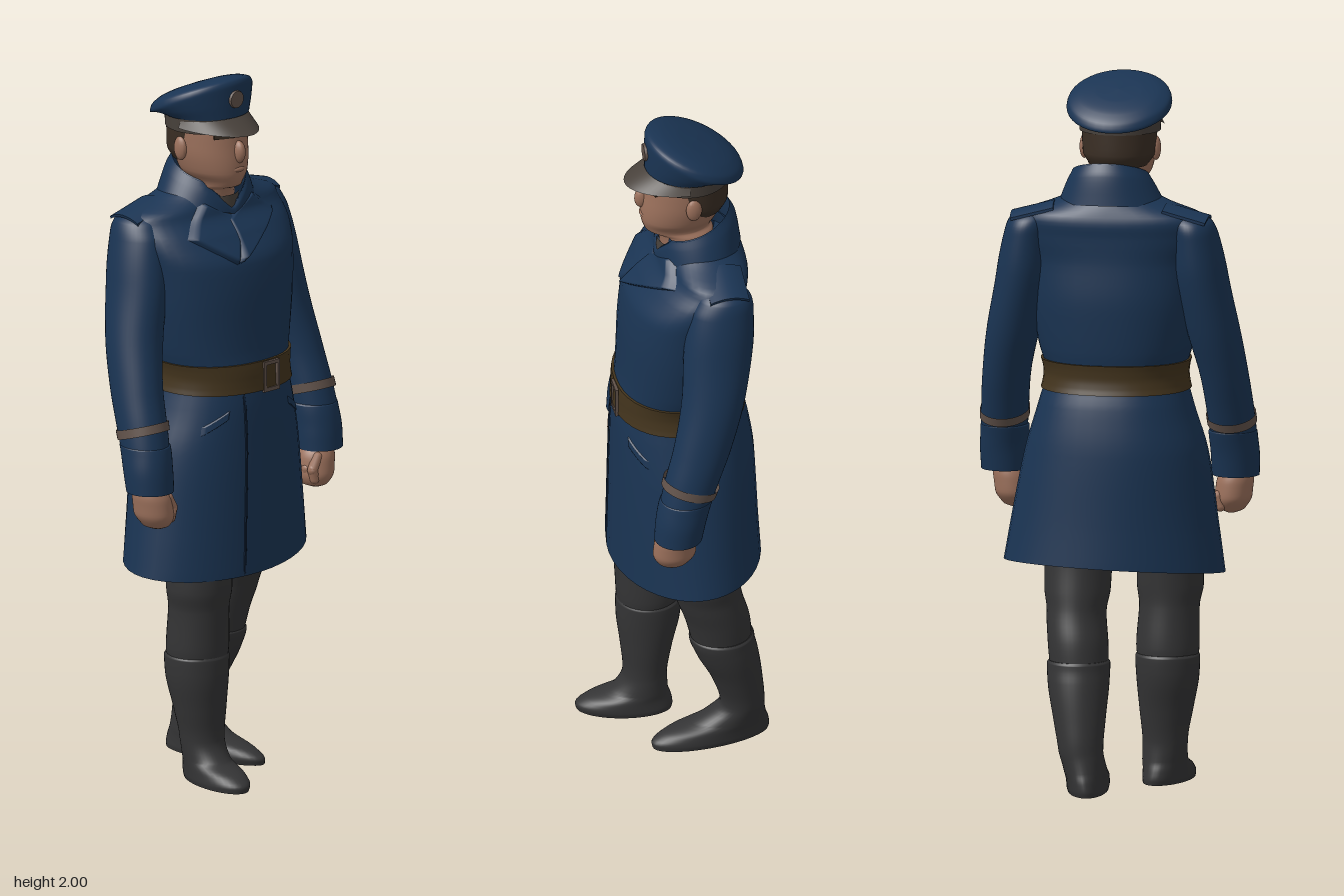
import * as THREE from 'three';

const mat = (name, color) => {
  const m = new THREE.MeshStandardMaterial({ color, side: THREE.DoubleSide });
  m.name = name;
  return m;
};

// Smooth value of cross-sections [y, cx, cz, rx, rz, power] at a height (sections run upward)
function at(secs, y) {
  let i = 0;
  while (i < secs.length - 2 && y > secs[i + 1][0]) i++;
  const h = secs[i + 1][0] - secs[i][0];
  const t = Math.min(1, Math.max(0, (y - secs[i][0]) / h));
  const val = (s, k) => s[k] ?? 2;
  const d = (j, k) => (val(secs[j + 1], k) - val(secs[j], k)) / (secs[j + 1][0] - secs[j][0]);
  const slope = (j, k) => {
    if (j === 0) return d(0, k);
    if (j === secs.length - 1) return d(j - 1, k);
    const a = d(j - 1, k), b = d(j, k);
    return a * b <= 0 ? 0 : (2 * a * b) / (a + b);
  };
  const out = [y];
  for (let k = 1; k < 6; k++) {
    const a = val(secs[i], k), b = val(secs[i + 1], k), t2 = t * t, t3 = t2 * t;
    out[k] = a * (2 * t3 - 3 * t2 + 1) + b * (3 * t2 - 2 * t3)
      + h * (slope(i, k) * (t3 - 2 * t2 + t) + slope(i + 1, k) * (t3 - t2));
  }
  return out;
}

// Closed rings stacked upward, with optional end caps and a warp applied to each point
function loft(secs, { caps = true, warp = null, seg = 40, sub = 5 } = {}) {
  const pos = [], idx = [], rings = [];
  for (let i = 0; i < secs.length - 1; i++)
    for (let j = 0; j < sub; j++)
      rings.push(at(secs, secs[i][0] + (secs[i + 1][0] - secs[i][0]) * j / sub));
  rings.push(at(secs, secs[secs.length - 1][0]));
  const put = (x, y, z) => {
    const v = new THREE.Vector3(x, y, z);
    if (warp) warp(v);
    pos.push(v.x, v.y, v.z);
  };
  const ring = ([y, cx, cz, rx, rz, n]) => {
    for (let a = 0; a < seg; a++) {
      const c = Math.cos(a / seg * Math.PI * 2), s = Math.sin(a / seg * Math.PI * 2);
      put(cx + rx * Math.sign(c) * Math.abs(c) ** (2 / n), y, cz + rz * Math.sign(s) * Math.abs(s) ** (2 / n));
    }
  };
  rings.forEach(ring);
  for (let r = 0; r < rings.length - 1; r++)
    for (let a = 0; a < seg; a++) {
      const p = r * seg + a, q = r * seg + (a + 1) % seg;
      idx.push(p, p + seg, q, q, p + seg, q + seg);
    }
  if (caps) [rings[0], rings[rings.length - 1]].forEach((s, top) => {
    const o = pos.length / 3;
    ring(s);
    put(s[1], s[0], s[2]);
    for (let a = 0; a < seg; a++) {
      const b = (a + 1) % seg;
      idx.push(o + seg, o + (top ? b : a), o + (top ? a : b));
    }
  });
  return build(pos, idx);
}

function build(pos, idx) {
  const g = new THREE.BufferGeometry();
  g.setAttribute('position', new THREE.Float32BufferAttribute(pos, 3));
  g.setIndex(idx);
  g.computeVertexNormals();
  return g;
}

// Open sheet from a rule f(u, v) -> [x, y, z]
function sheet(f, nu, nv) {
  const pos = [], idx = [];
  for (let j = 0; j <= nv; j++) for (let i = 0; i <= nu; i++) pos.push(...f(i / nu, j / nv));
  for (let j = 0; j < nv; j++) for (let i = 0; i < nu; i++) {
    const p = j * (nu + 1) + i, q = p + nu + 1;
    idx.push(p, p + 1, q, p + 1, q + 1, q);
  }
  return build(pos, idx);
}

const COAT = [
  [0.61, 0, -0.022, 0.308, 0.207, 1.95], [0.75, 0, -0.02, 0.288, 0.203, 2],
  [0.95, -0.003, -0.018, 0.255, 0.198, 2.1], [1.08, 0, -0.01, 0.215, 0.187, 2.2],
  [1.165, 0, -0.002, 0.195, 0.173, 2.2], [1.24, 0, -0.01, 0.213, 0.174, 2.2],
  [1.36, 0, -0.017, 0.235, 0.175, 2.2], [1.48, 0, -0.022, 0.25, 0.165, 2.2],
  [1.56, 0, -0.05, 0.265, 0.137, 2.3], [1.615, 0, -0.075, 0.26, 0.112, 2.3],
  [1.655, 0, -0.07, 0.165, 0.1], [1.68, 0, -0.06, 0.105, 0.09]];

const coatFront = (x, y) => {
  const [, cx, cz, rx, rz, n] = at(COAT, y);
  return cz + rz * Math.max(0, 1 - Math.abs((x - cx) / rx) ** n) ** (1 / n);
};

// Lower coat twists a little with the stride; hem is lower at the front
const stride = v => {
  const k = Math.max(0, 1 - (v.y - 0.61) / 0.35);
  v.x -= 0.1 * k * v.z;
  v.y += k * k * (0.04 * v.x - 0.09 * (v.z - 0.1));
};

// Patch lying on the coat front between four [x, y] corners
function drape([a, b, c, d], lift) {
  const mix = (p, q, t) => p + (q - p) * t;
  return sheet((u, v) => {
    const x = mix(mix(a[0], b[0], u), mix(d[0], c[0], u), v);
    const y = mix(mix(a[1], b[1], u), mix(d[1], c[1], u), v);
    const edge = Math.min(u, 1 - u, v, 1 - v);
    const p = new THREE.Vector3(x, y, coatFront(x, y) + lift * Math.min(1, edge * 12 + 0.05));
    stride(p);
    return p.toArray();
  }, 24, 24);
}

export function createModel() {
  const root = new THREE.Group();
  root.name = 'uniformedFigure';
  const navy = mat('navy cloth', 0x1a3453), seamNavy = mat('dark navy seam', 0x11233a);
  const dark = mat('charcoal leather', 0x343435), belt = mat('brown leather', 0x43341d);
  const skin = mat('skin', 0x9c715c), trim = mat('dull brown trim', 0x61524a);
  const capDark = mat('cap band brown', 0x48413b), hair = mat('dark hair', 0x3a2e24);
  const add = (name, geo, m, x = 0, y = 0, z = 0) => {
    const o = new THREE.Mesh(geo, m);
    o.name = name;
    o.position.set(x, y, z);
    root.add(o);
    return o;
  };

  // Coat, front edge, lapels and pocket flaps
  add('coat', loft(COAT, { caps: false, warp: stride }), navy);
  add('frontSeam', drape([[-0.062, 0.615], [-0.056, 0.615], [-0.064, 1.12], [-0.07, 1.12]], 0.004), seamNavy);
  add('rightLapel', drape([[-0.09, 1.655], [-0.178, 1.565], [-0.06, 1.485], [0.02, 1.6]], 0.018), navy);
  add('leftLapel', drape([[0.09, 1.655], [0.165, 1.592], [-0.055, 1.487], [-0.03, 1.6]], 0.022), navy);
  for (const s of [-1, 1])
    add('pocketFlap', drape([[s * 0.11, 1.08], [s * 0.18, 1.035], [s * 0.185, 1.01], [s * 0.115, 1.055]], 0.005), navy);

  // Collar standing higher at the back, open at the throat
  const collarWarp = v => {
    const k = Math.max(0, (v.y - 1.6) / 0.12);
    v.y -= (v.z + 0.055) * 0.36 * k;
    if (v.z > 0) v.y -= 0.06 * k * Math.max(0, 1 - Math.abs(v.x) / 0.075);
  };
  add('collar', loft([[1.61, 0, -0.062, 0.15, 0.115], [1.67, 0.005, -0.058, 0.12, 0.105],
    [1.73, 0.008, -0.05, 0.108, 0.1]], { caps: false, warp: collarWarp, seg: 64 }), navy);
  add('collarFall', loft([[1.64, 0.002, -0.06, 0.152, 0.12], [1.7, 0.006, -0.055, 0.124, 0.112],
    [1.733, 0.008, -0.05, 0.106, 0.098]], { caps: false, warp: collarWarp, seg: 64 }), navy);
  add('shirtCollar', loft([[1.6, -0.005, -0.025, 0.075, 0.08], [1.66, -0.005, -0.027, 0.072, 0.077]], { caps: false }), capDark);

  // Belt follows the waist
  add('belt', loft([1.122, 1.14, 1.165, 1.185, 1.205].map(y => {
    const [, cx, cz, rx, rz, n] = at(COAT, y);
    return [y, cx, cz, rx + 0.007, rz + 0.007, n];
  })), belt);
  const buckle = new THREE.Shape().moveTo(-0.03, -0.045).lineTo(0.03, -0.045).lineTo(0.03, 0.042).lineTo(-0.03, 0.042);
  buckle.holes.push(new THREE.Path().moveTo(-0.021, -0.034).lineTo(-0.021, 0.032).lineTo(0.021, 0.032).lineTo(0.021, -0.034));
  add('buckle', new THREE.ExtrudeGeometry(buckle, { depth: 0.009, bevelEnabled: false }), trim, 0.028, 1.16, 0.173);

  // Shoulder board, bent over the shoulder
  const board = new THREE.BoxGeometry(0.125, 0.008, 0.11, 6, 1, 8);
  const bp = board.attributes.position;
  for (let i = 0; i < bp.count; i++) bp.setY(i, bp.getY(i) - 5 * bp.getZ(i) ** 2);
  board.computeVertexNormals();

  // Arms, cuffs and hands
  for (const s of [-1, 1]) {
    const side = s < 0 ? 'right' : 'left';
    const m = secs => secs.map(([y, x, ...r]) => [y, s * x, ...r]);
    add(side + 'Sleeve', loft(m([[0.875, 0.325, 0.058, 0.062, 0.062], [0.96, 0.324, 0.045, 0.064, 0.069],
      [1.05, 0.318, 0.02, 0.066, 0.076], [1.15, 0.308, -0.012, 0.067, 0.081], [1.3, 0.28, -0.05, 0.074, 0.089],
      [1.45, 0.25, -0.07, 0.075, 0.097], [1.56, 0.236, -0.083, 0.066, 0.088],
      [1.6, 0.228, -0.09, 0.06, 0.074], [1.622, 0.218, -0.09, 0.044, 0.05], [1.631, 0.21, -0.09, 0.02, 0.025]])), navy);
    add(side + 'Cuff', loft(m([[0.872, 0.325, 0.06, 0.066, 0.067], [0.93, 0.325, 0.052, 0.068, 0.071],
      [0.998, 0.321, 0.036, 0.068, 0.074], [1.003, 0.321, 0.034, 0.064, 0.07]])), navy);
    add(side + 'CuffStripe', loft(m([[1.025, 0.32, 0.029, 0.069, 0.076], [1.052, 0.318, 0.021, 0.069, 0.078]]),
      { caps: false, warp: v => { v.y += (v.z - 0.025) * 0.3; } }), trim);
    const hx = s < 0 ? 0.322 : 0.306;
    add(side + 'Hand', loft([[0.765, -0.01, 0.07, 0.014, 0.02], [0.775, -0.01, 0.07, 0.036, 0.042],
      [0.81, -0.005, 0.066, 0.052, 0.06], [0.85, 0, 0.064, 0.052, 0.058], [0.89, 0.008, 0.06, 0.042, 0.045]]
      .map(([y, x, ...r]) => [y, s * (hx + x), ...r])), skin);
    for (let i = 0; i < 4; i++)
      add(side + 'Finger', new THREE.CapsuleGeometry(0.015, 0.03, 4, 10), skin, s * (hx - 0.04), 0.8 + i * 0.003, 0.028 + i * 0.024)
        .rotation.z = s * 0.25;
    add(side + 'Thumb', new THREE.CapsuleGeometry(0.015, 0.04, 4, 10), skin, s * (hx - 0.035), 0.838, 0.1).rotation.z = s * -0.5;
    add(side + 'ShoulderBoard', board, navy, s * 0.217, 1.637, -0.098).rotation.z = s * -0.26;
  }

  // Legs in stride: trousers tucked into tall boots
  const legs = {
    right: {
      turn: -0.14, trousers: [[0.33, -0.135, 0.05, 0.08, 0.083], [0.39, -0.135, 0.052, 0.088, 0.088],
        [0.5, -0.138, 0.06, 0.084, 0.086], [0.56, -0.14, 0.064, 0.093, 0.091], [0.65, -0.14, 0.062, 0.092, 0.095],
        [0.95, -0.11, 0.02, 0.09, 0.11]],
      boot: [[0, -0.127, 0.12, 0.062, 0.131], [0.015, -0.127, 0.12, 0.065, 0.134], [0.038, -0.127, 0.108, 0.064, 0.118],
        [0.065, -0.126, 0.076, 0.062, 0.078], [0.12, -0.126, 0.061, 0.063, 0.062], [0.21, -0.13, 0.056, 0.075, 0.073],
        [0.31, -0.135, 0.05, 0.088, 0.09], [0.36, -0.135, 0.049, 0.09, 0.092], [0.368, -0.135, 0.05, 0.085, 0.088]]
    },
    left: {
      turn: 0.12, trousers: [[0.33, 0.085, -0.115, 0.08, 0.083], [0.42, 0.092, -0.1, 0.084, 0.09],
        [0.5, 0.1, -0.075, 0.083, 0.093], [0.56, 0.1, -0.06, 0.092, 0.098], [0.65, 0.1, -0.045, 0.094, 0.1],
        [0.95, 0.1, -0.02, 0.09, 0.11]],
      boot: [[0, 0.066, -0.085, 0.057, 0.167], [0.015, 0.066, -0.085, 0.06, 0.17], [0.038, 0.066, -0.1, 0.06, 0.152],
        [0.065, 0.067, -0.143, 0.06, 0.1], [0.12, 0.071, -0.174, 0.062, 0.062], [0.21, 0.078, -0.157, 0.073, 0.071],
        [0.31, 0.086, -0.125, 0.086, 0.088], [0.36, 0.088, -0.112, 0.088, 0.091], [0.368, 0.088, -0.112, 0.083, 0.086]]
    }
  };
  for (const [side, { turn, trousers, boot }] of Object.entries(legs)) {
    add(side + 'TrouserLeg', loft(trousers), dark);
    add(side + 'Boot', loft(boot, {
      warp: v => { v.x += turn * (v.z - boot[0][2]) * Math.max(0, 1 - v.y / 0.12); }
    }), dark);
  }

  // Head and face
  add('head', loft([[1.58, -0.008, -0.035, 0.068, 0.07], [1.678, -0.012, -0.03, 0.066, 0.078],
    [1.695, -0.014, -0.008, 0.06, 0.092], [1.735, -0.015, -0.012, 0.085, 0.108], [1.8, -0.016, -0.024, 0.099, 0.116],
    [1.86, -0.016, -0.03, 0.101, 0.115], [1.92, -0.016, -0.04, 0.09, 0.1]]), skin);
  add('hair', loft([[1.755, -0.016, -0.06, 0.08, 0.075], [1.79, -0.016, -0.052, 0.101, 0.098],
    [1.87, -0.016, -0.045, 0.106, 0.105]]), hair);
  add('nose', new THREE.SphereGeometry(0.02, 16, 12), skin, -0.014, 1.795, 0.092).scale.set(0.8, 1.6, 1.1);
  add('mouth', new THREE.SphereGeometry(0.02, 16, 10), skin, -0.014, 1.745, 0.086).scale.set(1.2, 0.5, 0.7);
  for (const s of [-1, 1]) {
    add('ear', new THREE.SphereGeometry(0.03, 14, 10), skin, -0.016 + s * 0.101, 1.8, -0.035).scale.set(0.45, 1.15, 0.75);
    add('brow', new THREE.BoxGeometry(0.06, 0.012, 0.008), hair, -0.015 + s * 0.04, 1.843, 0.076).rotation.y = s * 0.4;
  }

  // Peaked cap: band, tilted crown, visor and badge
  add('capBand', loft([[1.85, -0.016, -0.037, 0.113, 0.116], [1.91, -0.016, -0.037, 0.115, 0.118]]), capDark);
  add('capCrown', loft([[1.888, -0.016, -0.038, 0.118, 0.122], [1.905, -0.017, -0.048, 0.136, 0.131],
    [1.925, -0.017, -0.056, 0.147, 0.137], [1.941, -0.017, -0.057, 0.143, 0.132], [1.958, -0.017, -0.061, 0.118, 0.105],
    [1.968, -0.017, -0.064, 0.07, 0.06], [1.971, -0.017, -0.064, 0.001, 0.001]], {
    warp: v => { v.y += (v.z + 0.055) * 0.43 * Math.min(1, Math.max(0, (v.y - 1.885) / 0.035)); }
  }), navy);
  add('visor', sheet((u, v) => {
    const a = Math.PI * (0.04 + 0.92 * u), s = Math.sin(a);
    return [-0.016 + Math.cos(a) * (0.114 + 0.01 * v), 1.892 - v * (0.014 + 0.026 * s) - 0.012 * (1 - s),
      -0.037 + s * (0.117 + 0.062 * v * s)];
  }, 30, 6), capDark);
  add('capBadge', new THREE.CylinderGeometry(0.024, 0.026, 0.01, 20), trim, -0.016, 1.945, 0.083).rotation.x = Math.PI / 2;
  return root;
}
